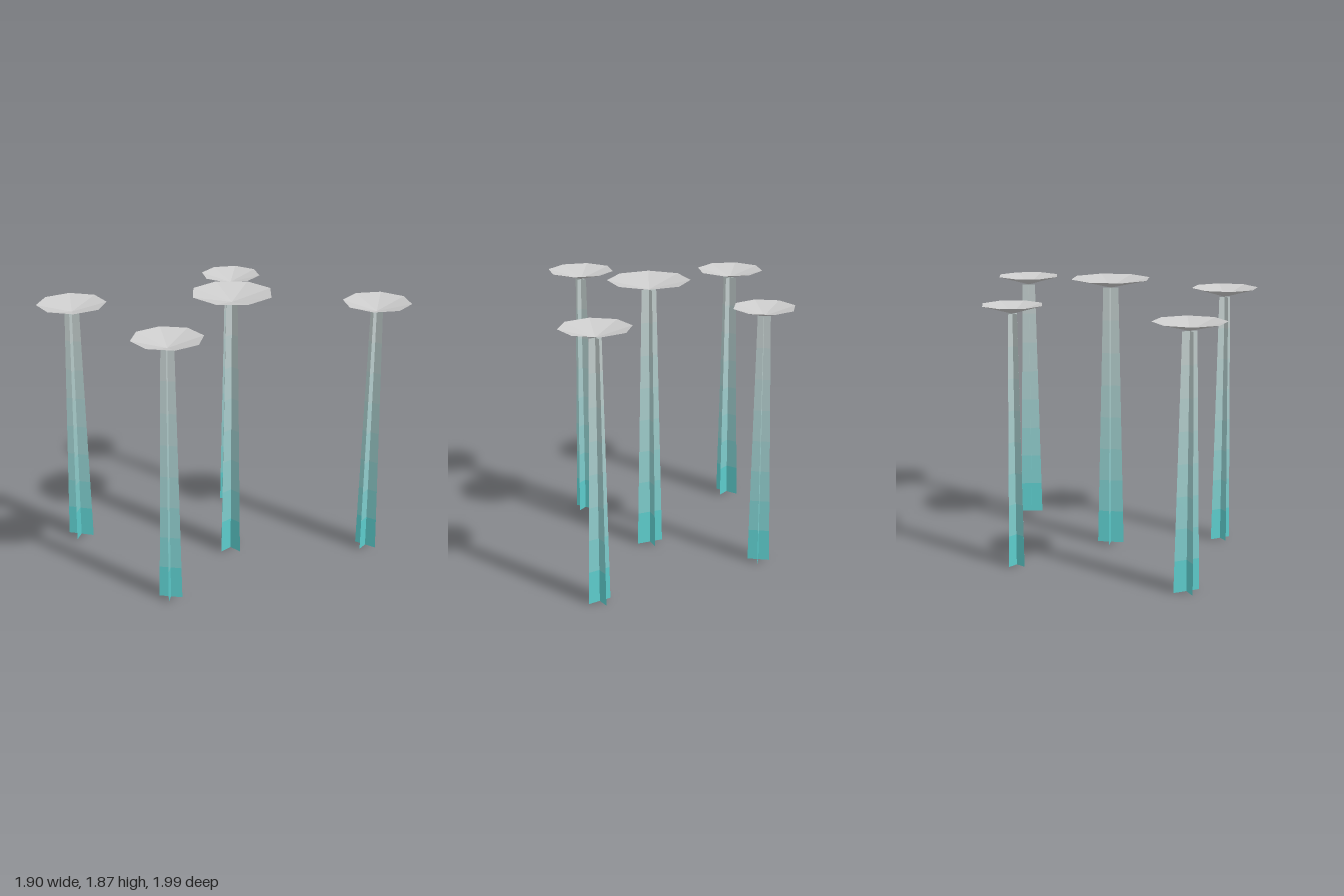
import * as THREE from 'three';
import { mergeGeometries } from 'three/addons/utils/BufferGeometryUtils.js';

const BANDS = 8;          // colour steps up each stem
const TOP_TAPER = 0.57;   // stem top width relative to its base

const material = (color) => new THREE.MeshStandardMaterial({
  color, flatShading: true, side: THREE.DoubleSide,
});
const capMaterial = material(0xcccccc);
const bandMaterials = Array.from({ length: BANDS }, (_, i) => {
  const t = Math.pow((i + 0.5) / BANDS, 0.6);
  return material(new THREE.Color(0x10cccc).lerp(new THREE.Color(0xc4cccb), t));
});

// x, z, cap radius, stem half width, stem height, cap depth, turn in degrees
const mushrooms = [
  [0.025, 0.13, 0.273, 0.091, 1.805, 0.062, 0],
  [-0.59, -0.765, 0.235, 0.091, 1.672, 0.058, -31.5],
  [0.582, -0.43, 0.206, 0.073, 1.70, 0.058, 32.5],
  [-0.733, 0.327, 0.228, 0.076, 1.73, 0.063, -36],
  [0.726, 0.772, 0.226, 0.079, 1.73, 0.063, -10.5],
];

// One tapered upright panel between two heights
function panel(w0, w1, y0, y1) {
  const g = new THREE.PlaneGeometry(2, 1);
  const p = g.attributes.position;
  for (let i = 0; i < p.count; i++) {
    const top = p.getY(i) > 0;
    p.setXY(i, p.getX(i) * (top ? w1 : w0), top ? y1 : y0);
  }
  return g;
}

// Stem: two crossed tapered panels, stacked in colour bands
function makeStem(width, height) {
  const stem = new THREE.Group();
  stem.name = 'stem';
  const widthAt = (t) => width * (1 - t * (1 - TOP_TAPER));
  for (let i = 0; i < BANDS; i++) {
    const a = i / BANDS, b = (i + 1) / BANDS;
    const one = panel(widthAt(a), widthAt(b), a * height, b * height);
    const cross = mergeGeometries([one, one.clone().rotateY(Math.PI / 2)]);
    const band = new THREE.Mesh(cross, bandMaterials[i]);
    band.name = 'stemBand';
    stem.add(band);
  }
  return stem;
}

// Cap: shallow open eight-sided funnel with its point on the stem
function makeCap(radius, height, depth) {
  const g = new THREE.CylinderGeometry(radius, 0, depth, 8, 1, true, Math.PI / 8);
  const cap = new THREE.Mesh(g, capMaterial);
  cap.name = 'cap';
  cap.position.y = height + depth / 2;
  return cap;
}

export function createModel() {
  const model = new THREE.Group();
  model.name = 'mushroomCluster';
  for (const [x, z, radius, width, height, depth, turn] of mushrooms) {
    const mushroom = new THREE.Group();
    mushroom.name = 'mushroom';
    mushroom.add(makeStem(width, height), makeCap(radius, height, depth));
    mushroom.position.set(x, 0, z);
    mushroom.rotation.y = -THREE.MathUtils.degToRad(turn);
    model.add(mushroom);
  }
  return model;
}
